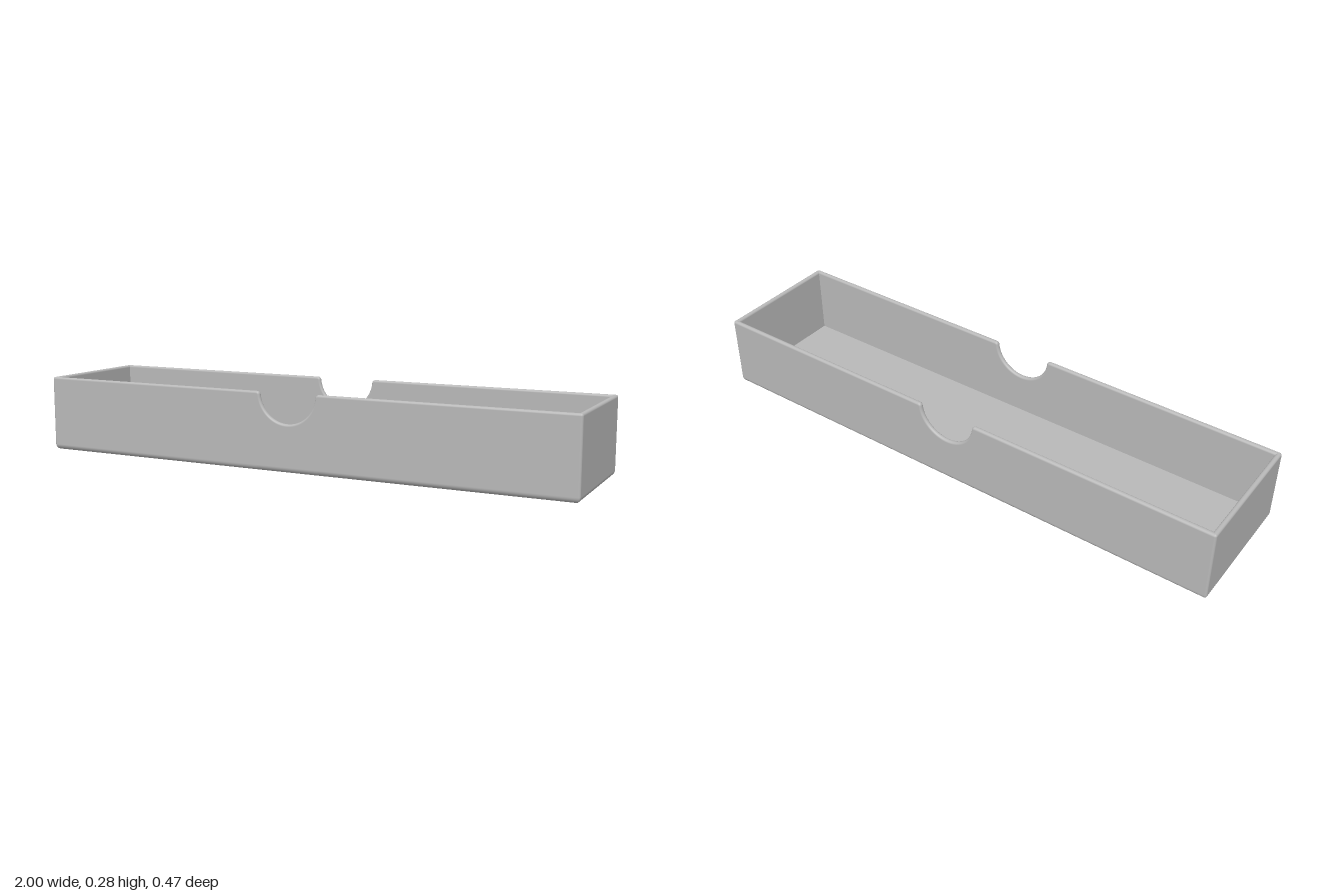
import * as THREE from 'three';

// Overall half sizes, wall thickness and rounding radii
const W = 1, D = 0.237, H = 0.275, WALL = 0.018, FLOOR = 0.02;
const RIM = 0.008, BASE = 0.02, CORNER = 0.008;
// Thumb notch: centre height, radius, and the rounded lip beside it
const NOTCH_Y = 0.275, NOTCH_R = 0.107, LIP = 0.012;

// Rim points of one long side, from +x to -x, with the rim's outward direction
function notchStations() {
  const dy = NOTCH_Y - (H - LIP);
  const dx = Math.sqrt((NOTCH_R + LIP) ** 2 - dy ** 2);
  const tilt = Math.atan2(dy, dx);
  const right = [], bowl = [];
  for (let i = 0; i <= 8; i++) {
    const a = Math.PI / 2 + (Math.PI / 2 - tilt) * i / 8;
    const nx = Math.cos(a), ny = Math.sin(a);
    right.push({ x: dx + LIP * nx, y: H - LIP + LIP * ny, nx, ny });
  }
  for (let i = 1; i < 40; i++) {
    const a = -tilt - (Math.PI - 2 * tilt) * i / 40;
    const nx = -Math.cos(a), ny = -Math.sin(a);
    bowl.push({ x: -NOTCH_R * nx, y: NOTCH_Y - NOTCH_R * ny, nx, ny });
  }
  const left = right.map(p => ({ ...p, x: -p.x, nx: -p.nx })).reverse();
  return [...right, ...bowl, ...left];
}

// Stations round the whole box: corner, notched side, corner, then turned by 180 degrees
function perimeter() {
  const corner = (sx, start) => Array.from({ length: 6 }, (_, i) =>
    ({ sx, a: start + Math.PI / 2 * i / 5, y: H, nx: 0, ny: 1 }));
  const half = [...corner(1, 0), ...notchStations(), ...corner(-1, Math.PI / 2)];
  return [1, -1].flatMap(turn => half.map(s => ({ ...s, turn })));
}

// Place one cross-section point at one station
function place(s, p) {
  if (p.centre) return [0, p.y, 0];
  const drop = p.drop ?? 0, onRim = p.drop !== undefined;
  const y = onRim ? s.y - s.ny * drop : p.y;
  let x, z;
  if (s.a !== undefined) {
    const r = Math.max(CORNER - p.inset, 0), c = Math.max(CORNER, p.inset);
    x = s.sx * (W - c) + r * Math.cos(s.a);
    z = D - c + r * Math.sin(s.a);
  } else {
    x = s.x - (onRim ? s.nx * drop : 0);
    z = D - p.inset;
  }
  return [x * s.turn, y, z * s.turn];
}

// Sweep a cross-section round the box as a closed smooth strip
function sweep(profile) {
  const stations = perimeter(), n = stations.length;
  const positions = profile.flatMap(p => stations.flatMap(s => place(s, p)));
  const index = [];
  for (let j = 0; j < profile.length - 1; j++) {
    for (let i = 0; i < n; i++) {
      const k = (i + 1) % n;
      const a = j * n + i, b = a + n, c = b - i + k, d = j * n + k;
      index.push(a, b, c, a, c, d);
    }
  }
  const g = new THREE.BufferGeometry();
  g.setAttribute('position', new THREE.Float32BufferAttribute(positions, 3));
  g.setIndex(index);
  g.computeVertexNormals();
  return g;
}

export function createModel() {
  const group = new THREE.Group();
  group.name = 'openTray';
  const grey = new THREE.MeshStandardMaterial({ color: 0xb8b8b8 });
  grey.name = 'grey';

  // Underside, rounded base edge, outer wall, rounded rim and inner wall
  const shell = [{ centre: true, y: 0 }];
  for (let i = 0; i <= 6; i++) {
    const a = Math.PI / 2 * i / 6;
    shell.push({ inset: BASE * (1 - Math.sin(a)), y: BASE * (1 - Math.cos(a)) });
  }
  for (let i = 0; i <= 5; i++) {
    const a = Math.PI / 2 * i / 5;
    shell.push({ inset: RIM * (1 - Math.cos(a)), drop: RIM * (1 - Math.sin(a)) });
  }
  for (let i = 0; i <= 5; i++) {
    const a = Math.PI / 2 * i / 5;
    shell.push({ inset: WALL - RIM * (1 - Math.sin(a)), drop: RIM * (1 - Math.cos(a)) });
  }
  shell.push({ inset: WALL, y: FLOOR });

  const floor = [{ inset: WALL, y: FLOOR }, { centre: true, y: FLOOR }];

  for (const [name, profile] of [['trayWalls', shell], ['trayFloor', floor]]) {
    const mesh = new THREE.Mesh(sweep(profile), grey);
    mesh.name = name;
    group.add(mesh);
  }
  return group;
}
